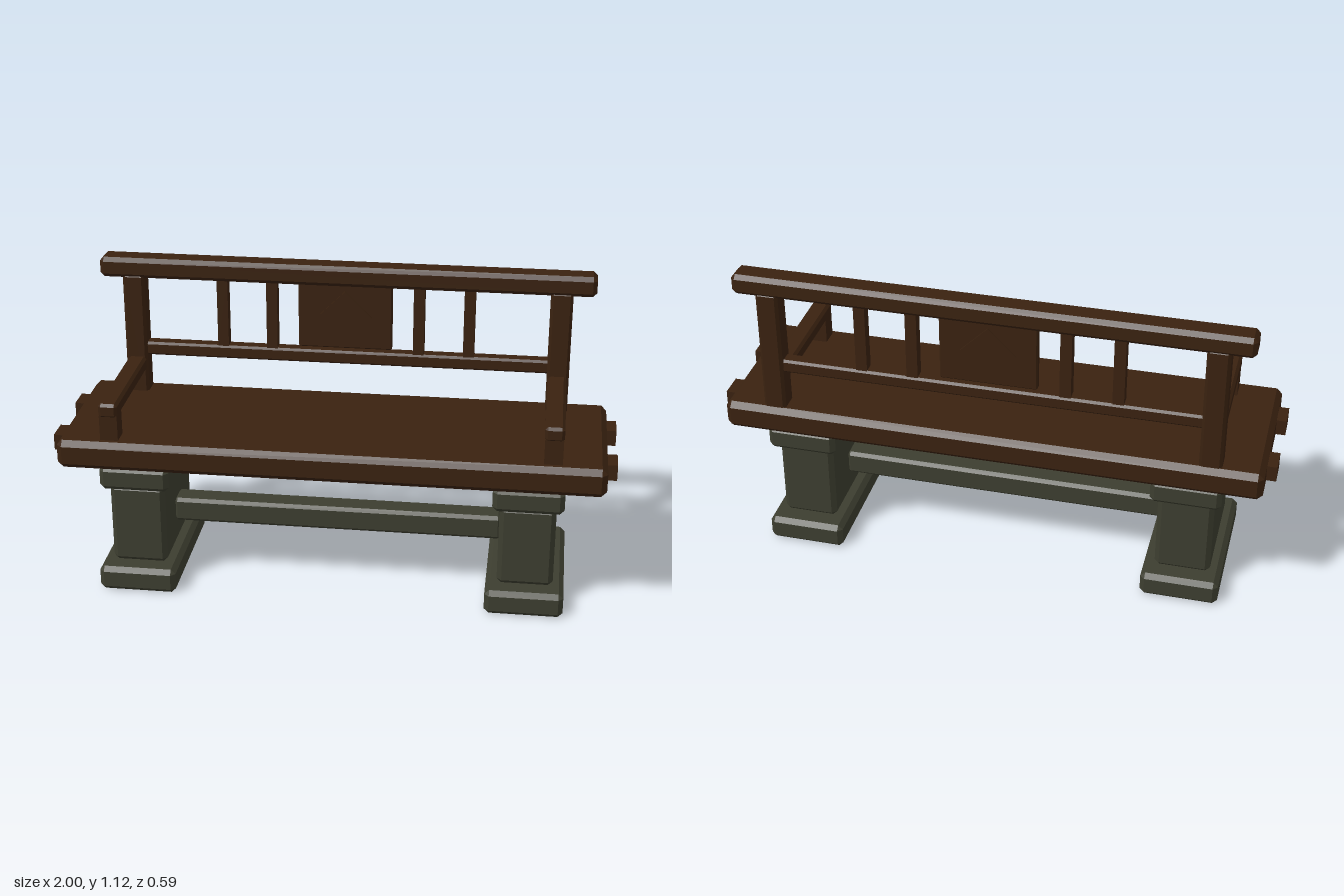
import * as THREE from 'three';
import { ConvexGeometry } from 'three/addons/geometries/ConvexGeometry.js';

const wood = new THREE.MeshStandardMaterial({ color: 0x3a2210 });
wood.name = 'dark wood';
const stone = new THREE.MeshStandardMaterial({ color: 0x3d3e30 });
stone.name = 'grey green stone';

// Box with every edge bevelled by c: each corner becomes three points
function bevelBox(w, h, d, c) {
  const points = [];
  const [x, y, z] = [w / 2, h / 2, d / 2];
  for (const i of [-1, 1]) for (const j of [-1, 1]) for (const k of [-1, 1]) {
    points.push(
      new THREE.Vector3(i * x, j * (y - c), k * (z - c)),
      new THREE.Vector3(i * (x - c), j * y, k * (z - c)),
      new THREE.Vector3(i * (x - c), j * (y - c), k * z));
  }
  return new ConvexGeometry(points);
}

export function createModel() {
  const bench = new THREE.Group();
  bench.name = 'bench';

  // Adds a block spanning the given [min, max] ranges
  function block(name, material, [x0, x1], [y0, y1], [z0, z1], bevel = 0) {
    const size = [x1 - x0, y1 - y0, z1 - z0];
    const geometry = bevel ? bevelBox(...size, bevel) : new THREE.BoxGeometry(...size);
    const mesh = new THREE.Mesh(geometry, material);
    mesh.name = name;
    mesh.position.set((x0 + x1) / 2, (y0 + y1) / 2, (z0 + z1) / 2);
    bench.add(mesh);
    return mesh;
  }

  // Seat plank
  block('seat', wood, [-0.965, 0.965], [0.492, 0.597], [-0.295, 0.295], 0.02);

  for (const [side, s] of [['left', 1], ['right', -1]]) {
    const span = (a, b) => (s > 0 ? [a, b] : [-b, -a]);

    // Stone pedestal: foot, shaft and cap
    block(side + 'Foot', stone, span(0.56, 0.84), [0, 0.092], [-0.277, 0.277], 0.017);
    block(side + 'Pedestal', stone, span(0.6, 0.8), [0.092, 0.397], [-0.214, 0.214], 0.017);
    block(side + 'Cap', stone, span(0.575, 0.826), [0.397, 0.487], [-0.256, 0.256], 0.017);

    // Tenons poking out of the seat end
    for (const z of [-0.145, 0.145]) {
      block(side + 'Tenon', wood, span(0.9, 1), [0.516, 0.574], [z - 0.045, z + 0.045]);
    }

    // Back post, armrest and its short support
    block(side + 'BackPost', wood, span(0.74, 0.82), [0.585, 1.055], [-0.276, -0.196], 0.01);
    block(side + 'Armrest', wood, span(0.744, 0.812), [0.682, 0.735], [-0.205, 0.265], 0.01);
    block(side + 'ArmSupport', wood, span(0.746, 0.81), [0.59, 0.69], [0.193, 0.26]);

    // Back slats
    for (const x of [0.27, 0.453]) {
      block(side + 'Slat', wood, span(x - 0.02, x + 0.02), [0.78, 1.05], [-0.257, -0.215]);
    }
  }

  // Stone stretcher between the pedestals
  block('stretcher', stone, [-0.605, 0.605], [0.182, 0.273], [-0.048, 0.048], 0.012);

  // Back rails and centre panel
  block('topRail', wood, [-0.902, 0.902], [1.043, 1.118], [-0.284, -0.189], 0.015);
  block('lowerRail', wood, [-0.75, 0.75], [0.738, 0.788], [-0.263, -0.209], 0.008);
  block('centrePanel', wood, [-0.172, 0.172], [0.797, 1.05], [-0.252, -0.22], 0.005);

  // Raised diamond, showing on both faces of the panel
  const diamond = block('panelDiamond', wood, [-0.07, 0.07], [0.85, 0.99], [-0.257, -0.215]);
  diamond.rotation.z = Math.PI / 4;

  return bench;
}
